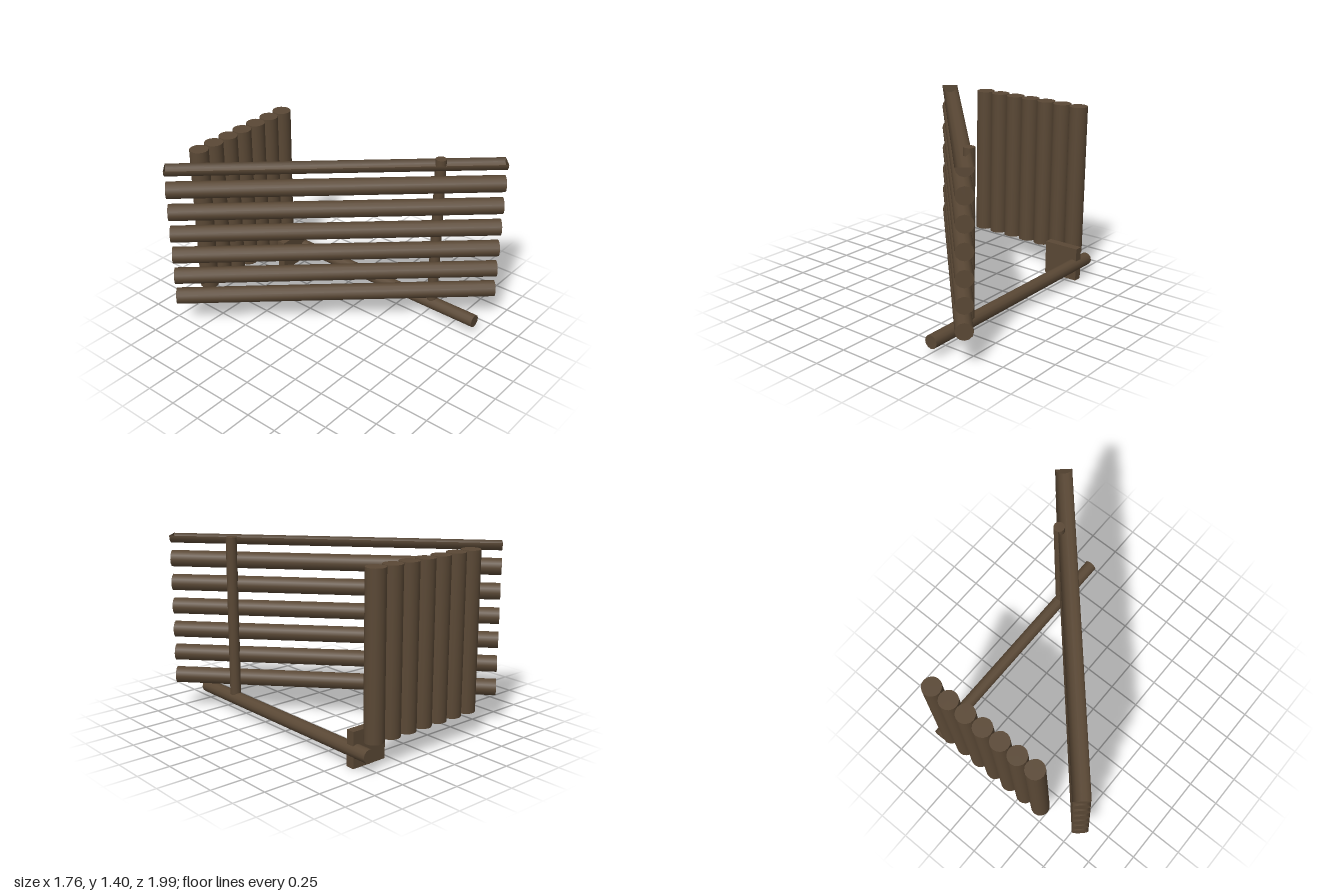
import * as THREE from 'three';

export function createModel() {
  const group = new THREE.Group();
  const wood = new THREE.MeshStandardMaterial({ color: 0x5a4835 });
  wood.name = 'darkWood';
  wood.side = THREE.DoubleSide;

  const add = (name, geometry, x, y, z, parent = group) => {
    const mesh = new THREE.Mesh(geometry, wood);
    mesh.name = name;
    mesh.position.set(x, y, z);
    parent.add(mesh);
    return mesh;
  };

  // Row of upright logs along the back
  const backWall = new THREE.Group();
  backWall.name = 'backWall';
  group.add(backWall);
  const upright = new THREE.CylinderGeometry(0.073, 0.073, 1.208, 16);
  for (let i = 0; i < 7; i++) {
    add('uprightLog', upright, (i - 3) * 0.1525, 0.796, -0.927, backWall);
  }

  // Stack of horizontal logs set diagonally
  const diagonalWall = new THREE.Group();
  diagonalWall.name = 'diagonalWall';
  diagonalWall.position.set(0, 0, 0.026);
  diagonalWall.rotation.y = -0.839;
  group.add(diagonalWall);
  const log = new THREE.CylinderGeometry(0.064, 0.064, 2.487, 12)
    .rotateZ(Math.PI / 2);
  for (let i = 0; i < 6; i++) {
    add('wallLog', log, 0, 0.284 + i * 0.1868, 0, diagonalWall);
  }

  // Topmost log is an open lower half, like a gutter
  const halfLog = new THREE.CylinderGeometry(0.064, 0.064, 2.487, 6, 1, false, Math.PI, Math.PI)
    .rotateZ(Math.PI / 2);
  add('topHalfLog', halfLog, 0, 1.403, 0, diagonalWall);

  // Slim post beside the diagonal wall
  add('post', new THREE.CylinderGeometry(0.042, 0.042, 1.243, 12), 0.553, 0.7815, 0.56);

  // Ground beam running front to back
  const beam = new THREE.CylinderGeometry(0.051, 0.051, 1.945, 12).rotateX(Math.PI / 2);
  add('groundBeam', beam, 0.55, 0.125, -0.01);

  // Plank under the back wall
  add('plank', new THREE.BoxGeometry(0.293, 0.27, 0.068), 0.433, 0.135, -0.821);

  return group;
}
